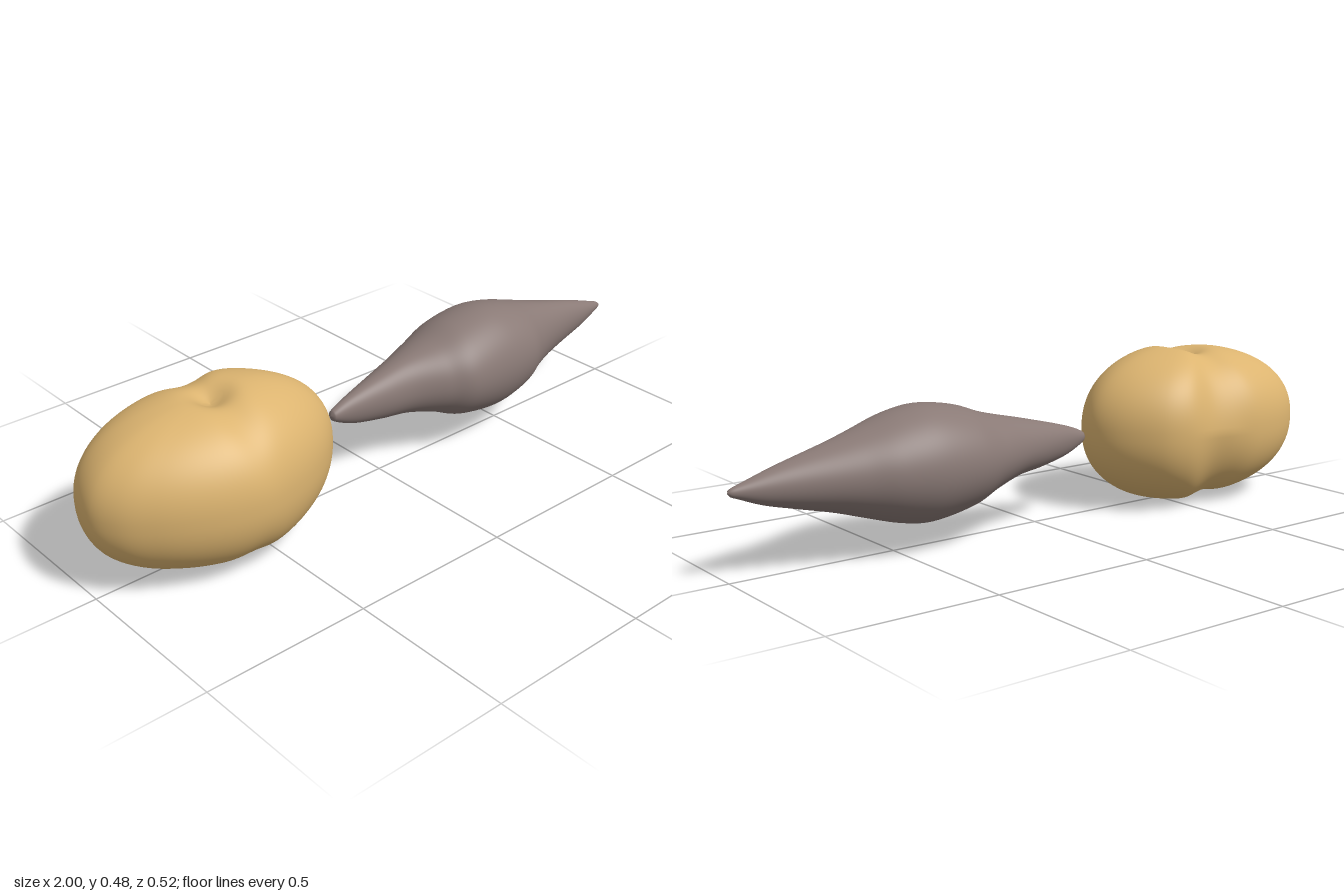
import * as THREE from 'three';

// Skin closed rings of points into one smooth surface; pick(y) chooses a material index per face.
function loft(rings, pick) {
  const n = rings[0].length;
  const pos = rings.flat().flatMap((p) => [p.x, p.y, p.z]);
  const faces = [[], []];
  for (let i = 0; i < rings.length - 1; i++) {
    for (let j = 0; j < n; j++) {
      const k = (j + 1) % n;
      const a = i * n + j, b = (i + 1) * n + j, c = i * n + k, d = (i + 1) * n + k;
      const y = (pos[a * 3 + 1] + pos[b * 3 + 1] + pos[c * 3 + 1] + pos[d * 3 + 1]) / 4;
      const list = faces[pick ? pick(y) : 0];
      if (i > 0) list.push(a, c, b);
      if (i < rings.length - 2) list.push(c, d, b);
    }
  }
  const geo = new THREE.BufferGeometry();
  geo.setAttribute('position', new THREE.Float32BufferAttribute(pos, 3));
  geo.setIndex([...faces[0], ...faces[1]]);
  geo.addGroup(0, faces[0].length, 0);
  geo.addGroup(faces[0].length, faces[1].length, 1);
  geo.computeVertexNormals();
  return geo;
}

// Smooth function through [x, value] pairs.
function profile(pairs) {
  const pts = new THREE.SplineCurve(pairs.map(([x, v]) => new THREE.Vector2(x, v))).getPoints(300);
  return (x) => {
    let i = 1;
    while (i < pts.length - 1 && pts[i].x < x) i++;
    const p = pts[i - 1], q = pts[i];
    const t = THREE.MathUtils.clamp((x - p.x) / (q.x - p.x || 1), 0, 1);
    return Math.max(0, p.y + (q.y - p.y) * t);
  };
}

const bump = (d, w) => Math.exp(-(d * d) / (w * w));

// Rounded lump with a soft waist and a dimple at each pole.
function lumpGeometry() {
  const outline = new THREE.CatmullRomCurve3([
    [-0.6, 0.255], [-0.5, 0.237], [-0.4, 0.2], [-0.31, 0.145], [-0.245, 0.075], [-0.222, 0],
    [-0.25, -0.09], [-0.34, -0.195], [-0.42, -0.232], [-0.52, -0.237], [-0.6, -0.252], [-0.69, -0.26],
    [-0.8, -0.24], [-0.9, -0.19], [-0.97, -0.115], [-1, 0], [-0.965, 0.08], [-0.89, 0.15],
    [-0.8, 0.205], [-0.7, 0.242],
  ].map(([x, z]) => new THREE.Vector3(x, 0, z)), true);
  const cx = -0.6, cz = 0, rows = 72, cols = 120;
  const edge = Array.from({ length: cols }, (_, j) => outline.getPoint(j / cols));
  const rings = [];
  for (let i = 0; i <= rows; i++) {
    const t = (i / rows) * Math.PI;
    const s = Math.pow(Math.max(0, Math.sin(t)), 0.9);
    const c = -Math.sign(Math.cos(t)) * Math.pow(Math.abs(Math.cos(t)), 0.9);
    rings.push(edge.map((p) => {
      const dx = (p.x - cx) * s, dz = (p.z - cz) * s;
      // crease across the back half, fading out at the equator
      const groove = p.z < 0 ? 0.06 * bump(p.x + 0.54, 0.08) * Math.abs(c) * s : 0;
      const h = 0.243 + 0.006 * Math.tanh(dx / 0.06)
        - 0.014 * bump(dx, 0.05) - 0.03 * bump(Math.hypot(dx, dz), 0.05);
      return new THREE.Vector3(cx + dx, 0.246 + c * h, cz + dz * (1 - groove * 2));
    }));
  }
  return loft(rings);
}

// Spindle along x, with its own radius profile above, below, in front and behind.
function spindleGeometry() {
  const above = profile([[-0.178, 0], [-0.17, 0.016], [-0.1, 0.043], [0.05, 0.082], [0.2, 0.118], [0.3, 0.152],
    [0.41, 0.168], [0.5, 0.157], [0.6, 0.128], [0.7, 0.098], [0.85, 0.057], [0.95, 0.025], [0.99, 0.011], [1, 0]]);
  const below = profile([[-0.178, 0], [-0.17, 0.018], [-0.1, 0.05], [0, 0.071], [0.1, 0.084], [0.2, 0.113],
    [0.28, 0.146], [0.41, 0.168], [0.5, 0.157], [0.6, 0.128], [0.7, 0.097], [0.8, 0.072], [0.9, 0.046],
    [0.97, 0.019], [0.99, 0.011], [1, 0]]);
  const front = profile([[-0.178, 0], [-0.17, 0.016], [-0.1, 0.032], [0, 0.052], [0.1, 0.075], [0.2, 0.122],
    [0.28, 0.157], [0.42, 0.16], [0.54, 0.142], [0.62, 0.105], [0.7, 0.076], [0.8, 0.052], [0.9, 0.033],
    [0.99, 0.011], [1, 0]]);
  const behind = profile([[-0.178, 0], [-0.17, 0.014], [-0.1, 0.034], [0, 0.064], [0.1, 0.095], [0.2, 0.133],
    [0.3, 0.164], [0.43, 0.172], [0.55, 0.153], [0.65, 0.118], [0.8, 0.068], [0.95, 0.023], [0.99, 0.01], [1, 0]]);
  const rows = 160, cols = 128, rings = [];
  for (let i = 0; i <= rows; i++) {
    const u = i / rows;
    // finer steps near both tips
    const x = -0.178 + 1.178 * (0.6 * u + 0.4 * (0.5 - 0.5 * Math.cos(Math.PI * u)));
    const [t, b, f, k] = [above(x), below(x), front(x), behind(x)];
    rings.push(Array.from({ length: cols }, (_, j) => {
      const a = (j / cols) * Math.PI * 2, c = Math.cos(a), s = Math.sin(a);
      return new THREE.Vector3(x, 0.247 + c * (c > 0 ? t : b), -0.012 + s * (s > 0 ? f : k));
    }));
  }
  return loft(rings, (y) => (y < 0.09 ? 1 : 0));
}

export function createModel() {
  const tan = new THREE.MeshStandardMaterial({ color: 0xdcb470 });
  tan.name = 'tan skin';
  const brown = new THREE.MeshStandardMaterial({ color: 0x8a7a76 });
  brown.name = 'grey brown skin';
  const grey = new THREE.MeshStandardMaterial({ color: 0xa6aaac });
  grey.name = 'pale grey patch';

  const lump = new THREE.Mesh(lumpGeometry(), [tan, tan]);
  lump.name = 'roundedLump';
  // the underside patch is the second material group
  const spindle = new THREE.Mesh(spindleGeometry(), [brown, grey]);
  spindle.name = 'spindleWithUndersidePatch';

  const group = new THREE.Group();
  group.name = 'lumpAndSpindle';
  group.add(lump, spindle);
  return group;
}
